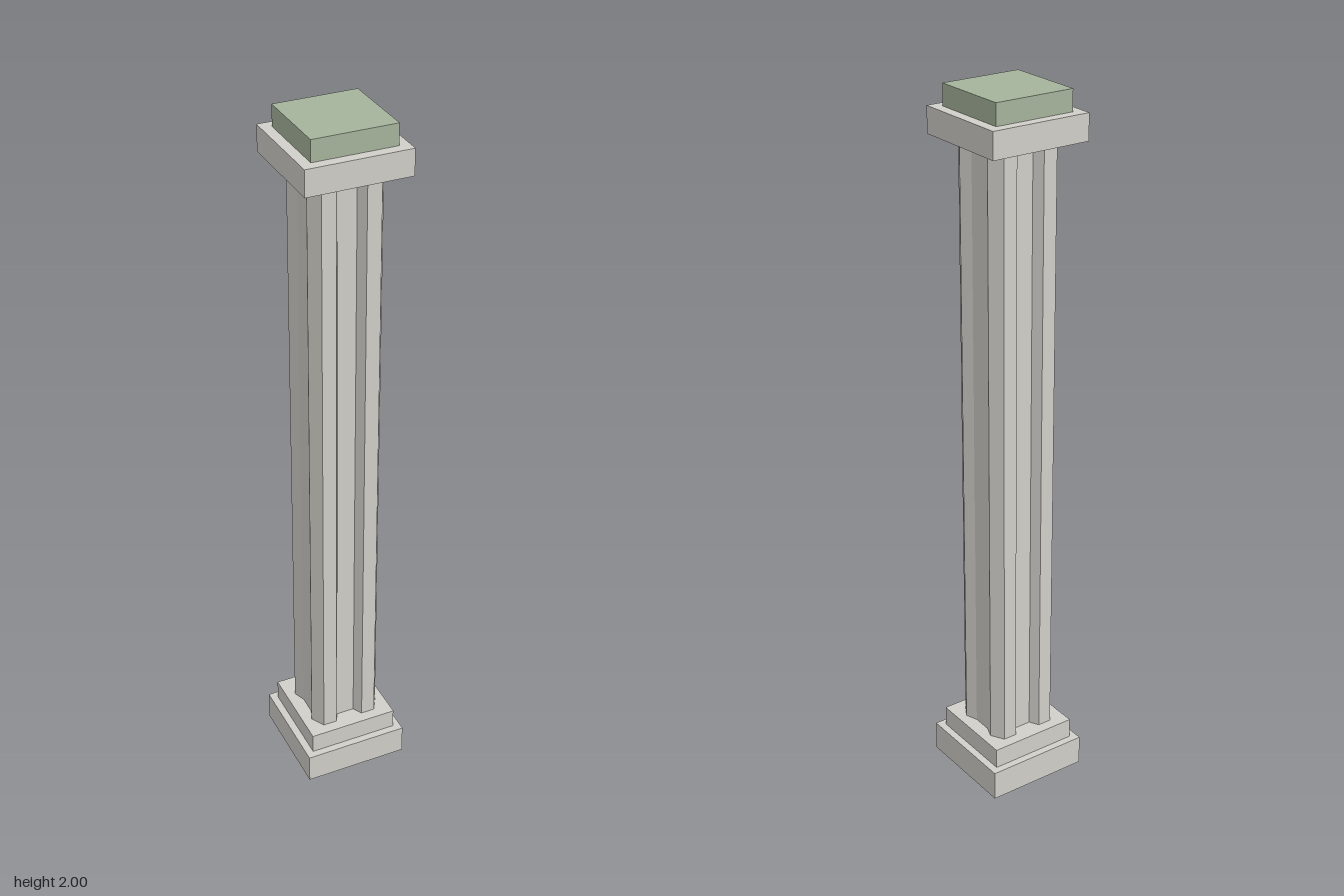
import * as THREE from 'three';

export function createModel() {
  const model = new THREE.Group();
  const stone = new THREE.MeshStandardMaterial({ color: 0xd1cfc9 });
  stone.name = 'pale stone';
  const moss = new THREE.MeshStandardMaterial({ color: 0xa6b49b });
  moss.name = 'moss green';

  // Square slab from height y0 to y1
  const slab = (name, half, y0, y1, material) => {
    const mesh = new THREE.Mesh(new THREE.BoxGeometry(half * 2, y1 - y0, half * 2), material);
    mesh.position.y = (y0 + y1) / 2;
    mesh.name = name;
    model.add(mesh);
  };
  slab('plinth', 0.151, 0, 0.087, stone);
  slab('baseStep', 0.13, 0.087, 0.146, stone);
  slab('capital', 0.144, 1.87, 1.942, stone);
  slab('mossyTop', 0.115, 1.942, 2, moss);

  // Shaft: square section with chamfered corners, deep flutes in the front
  // and back, and shallow hollows in the sides. One quarter, side to front:
  const quarter = [
    [0.09, 0.027], [0.103, 0.061], [0.081, 0.099], [0.041, 0.099], [0.026, 0.072],
  ];
  const mirrored = [...quarter].reverse().map(([x, z]) => [-x, z]);
  const half = [...quarter, ...mirrored];
  const outline = [...half, ...half.map(([x, z]) => [-x, -z])];
  const section = new THREE.Shape(outline.map(([x, z]) => new THREE.Vector2(x, z)));
  const shaftGeometry = new THREE.ExtrudeGeometry(section, {
    depth: 1.724, bevelEnabled: false,
  });
  shaftGeometry.rotateX(-Math.PI / 2);
  const shaft = new THREE.Mesh(shaftGeometry, stone);
  shaft.position.y = 0.146;
  shaft.name = 'flutedShaft';
  model.add(shaft);

  return model;
}
